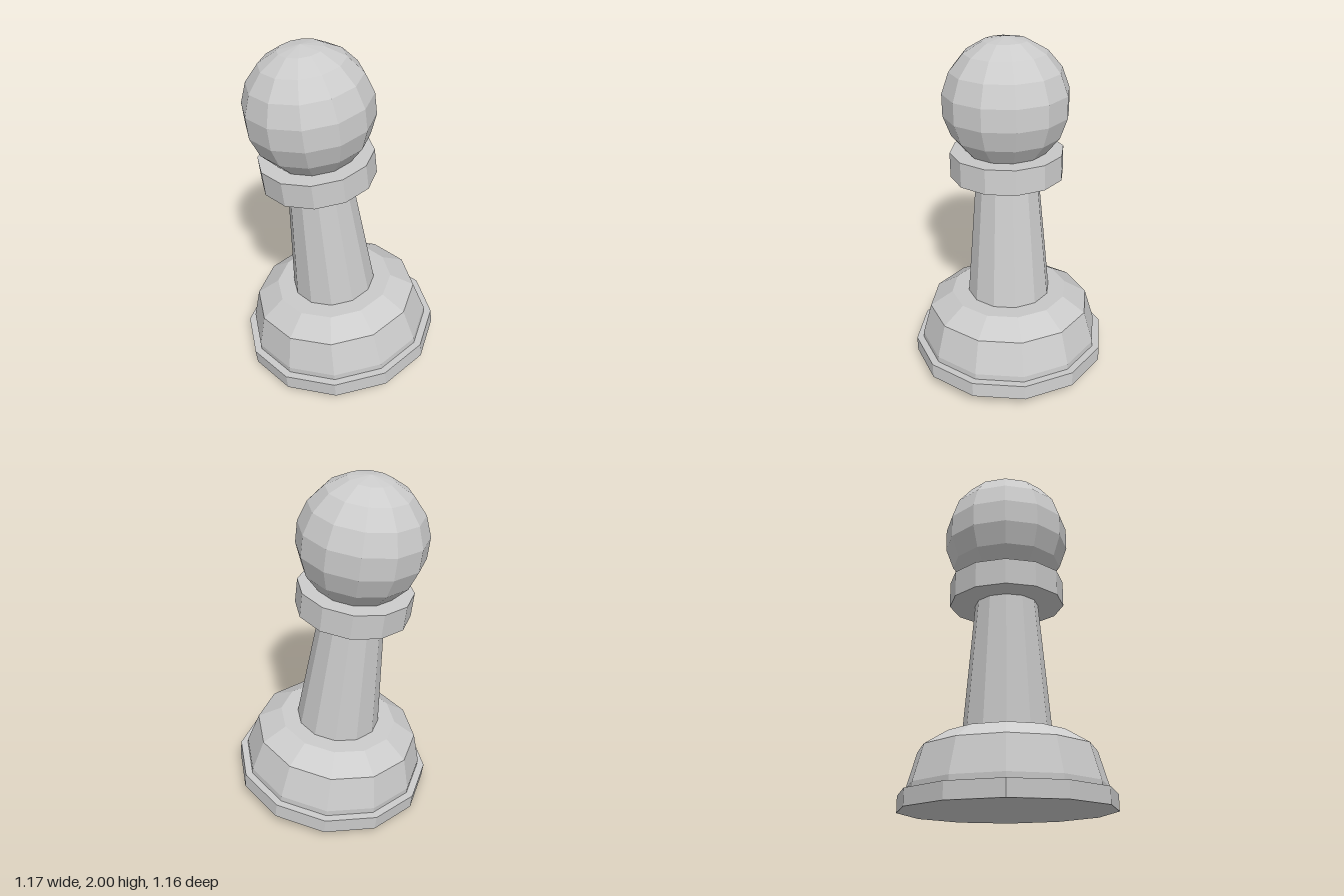
import * as THREE from 'three';

const SIDES = 12;

export function createModel() {
  const material = new THREE.MeshStandardMaterial({ color: 0xcccccc, flatShading: true });
  const group = new THREE.Group();
  group.name = 'chessPawn';

  const add = (name, geometry, y) => {
    const mesh = new THREE.Mesh(geometry, material);
    mesh.name = name;
    mesh.position.y = y;
    group.add(mesh);
  };

  // Straight or tapered twelve-sided section between two heights
  const section = (name, rTop, rBottom, y0, y1) =>
    add(name, new THREE.CylinderGeometry(rTop, rBottom, y1 - y0, SIDES), (y0 + y1) / 2);

  // Wide foot: plinth, short step, sloping wall and shoulder
  const profile = [
    [0, 0], [0.586, 0], [0.586, 0.09], [0.543, 0.09],
    [0.543, 0.125], [0.486, 0.32], [0.35, 0.405], [0, 0.405],
  ].map(([r, y]) => new THREE.Vector2(r, y));
  add('base', new THREE.LatheGeometry(profile, SIDES), 0);

  section('column', 0.18, 0.248, 0.4, 1.17);
  section('collar', 0.326, 0.326, 1.165, 1.31);

  // Ball head
  add('head', new THREE.SphereGeometry(0.36, SIDES, 9), 1.589);

  // The whole piece is turned on its axis and leans to its right and slightly back
  group.rotation.set(
    THREE.MathUtils.degToRad(-1),
    THREE.MathUtils.degToRad(-7),
    THREE.MathUtils.degToRad(6),
    'XZY'
  );
  group.position.set(0.005, 0.062, 0);

  const model = new THREE.Group();
  model.name = 'pawn';
  model.add(group);
  return model;
}
